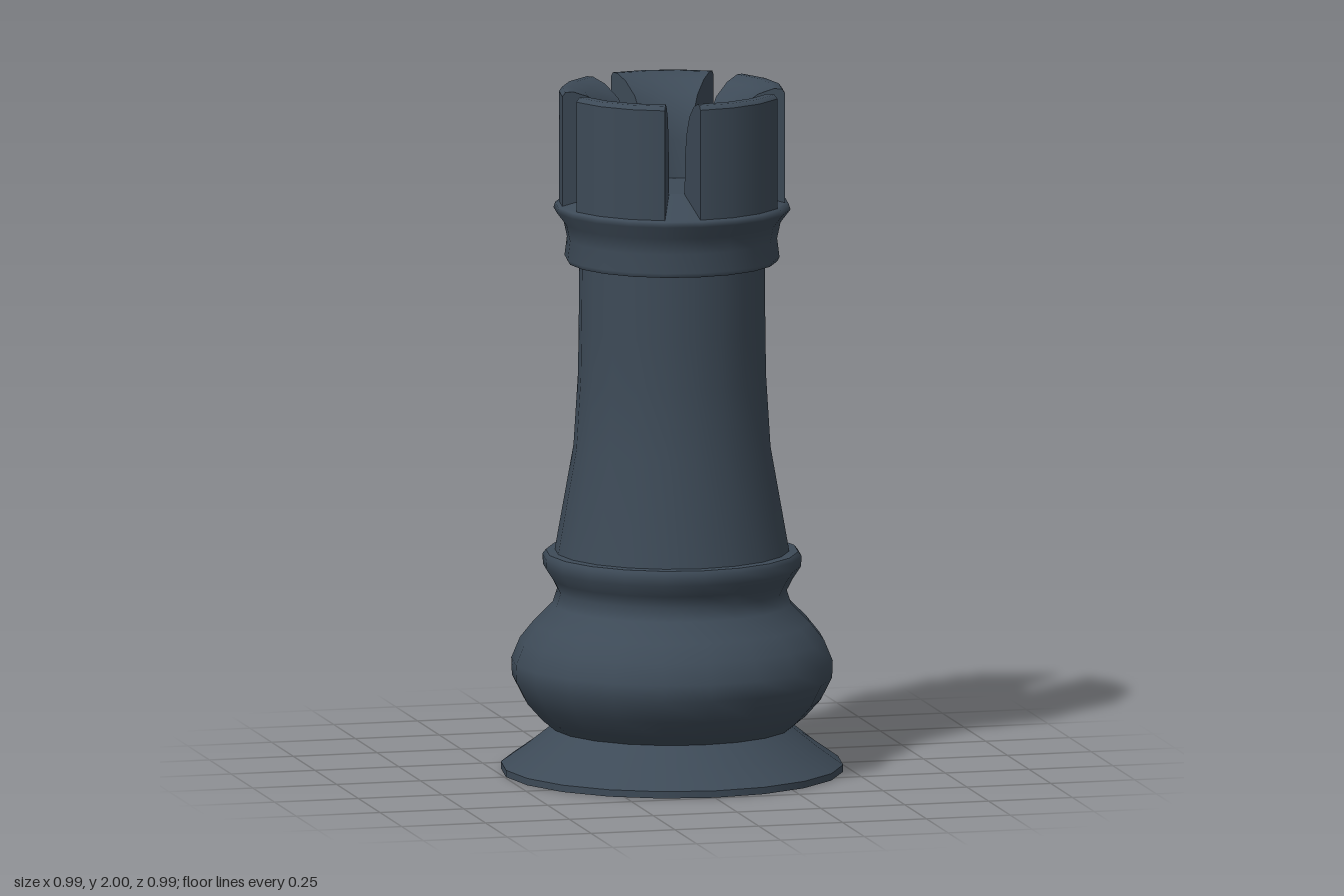
import * as THREE from 'three';

const SIDES = 20;
const STEP = (Math.PI * 2) / SIDES;
const toPoints = (list) => list.map(([r, y]) => new THREE.Vector2(r, y));

export function createModel() {
  const group = new THREE.Group();
  const material = new THREE.MeshStandardMaterial({ color: 0x3d4a57, side: THREE.DoubleSide });

  const add = (name, geometry, parent = group) => {
    const mesh = new THREE.Mesh(geometry, material);
    mesh.name = name;
    parent.add(mesh);
    return mesh;
  };
  const turn = (name, list) => add(name, new THREE.LatheGeometry(toPoints(list), SIDES));

  // Flared foot; separate lathes keep the creases sharp
  turn('footUnderside', [[0, 0], [0.495, 0]]);
  turn('footRim', [[0.495, 0], [0.495, 0.02]]);
  turn('footSlope', [[0.495, 0.02], [0.42, 0.073], [0.348, 0.13]]);

  // Bulging base with a rolled lip
  turn('baseBulge', [
    [0.348, 0.13], [0.385, 0.16], [0.43, 0.21], [0.463, 0.275], [0.465, 0.325], [0.44, 0.385],
    [0.4, 0.435], [0.345, 0.49], [0.332, 0.53], [0.35, 0.565], [0.373, 0.6], [0.375, 0.63], [0.365, 0.643],
  ]);
  turn('baseLipTop', [[0.365, 0.643], [0.335, 0.645]]);

  // Tapering shaft
  turn('shaft', [[0.34, 0.64], [0.285, 0.95], [0.272, 1.16], [0.27, 1.3], [0.268, 1.5]]);

  // Collar under the crown
  turn('collarUnderside', [[0.26, 1.492], [0.304, 1.492]]);
  turn('collar', [
    [0.304, 1.492], [0.311, 1.505], [0.304, 1.56], [0.314, 1.607], [0.343, 1.645], [0.338, 1.66], [0.325, 1.664],
  ]);
  turn('crownFloorSlope', [[0.327, 1.664], [0.14, 1.71]]);
  turn('crownFloor', [[0.14, 1.71], [0, 1.71]]);

  // Five battlements: straight outside, rounded over towards the inside
  const outer = [[0.327, 1.65], [0.327, 1.985]];
  const inner = [
    [0.327, 1.985], [0.318, 1.997], [0.295, 1.998], [0.25, 1.982], [0.2, 1.945],
    [0.168, 1.89], [0.15, 1.82], [0.145, 1.7],
  ];
  const section = new THREE.Shape(toPoints([...outer, ...inner.slice(1), [0.145, 1.65]]));
  for (let i = 0; i < 5; i++) {
    const battlement = new THREE.Group();
    battlement.name = 'battlement' + (i + 1);
    battlement.rotation.y = i * 4 * STEP;
    add('outerWall', new THREE.LatheGeometry(toPoints(outer), 3, 0, 3 * STEP), battlement);
    add('innerWall', new THREE.LatheGeometry(toPoints(inner), 3, 0, 3 * STEP), battlement);
    for (const phi of [0, 3 * STEP]) {
      add('endWall', new THREE.ShapeGeometry(section), battlement).rotation.y = phi - Math.PI / 2;
    }
    group.add(battlement);
  }
  return group;
}
